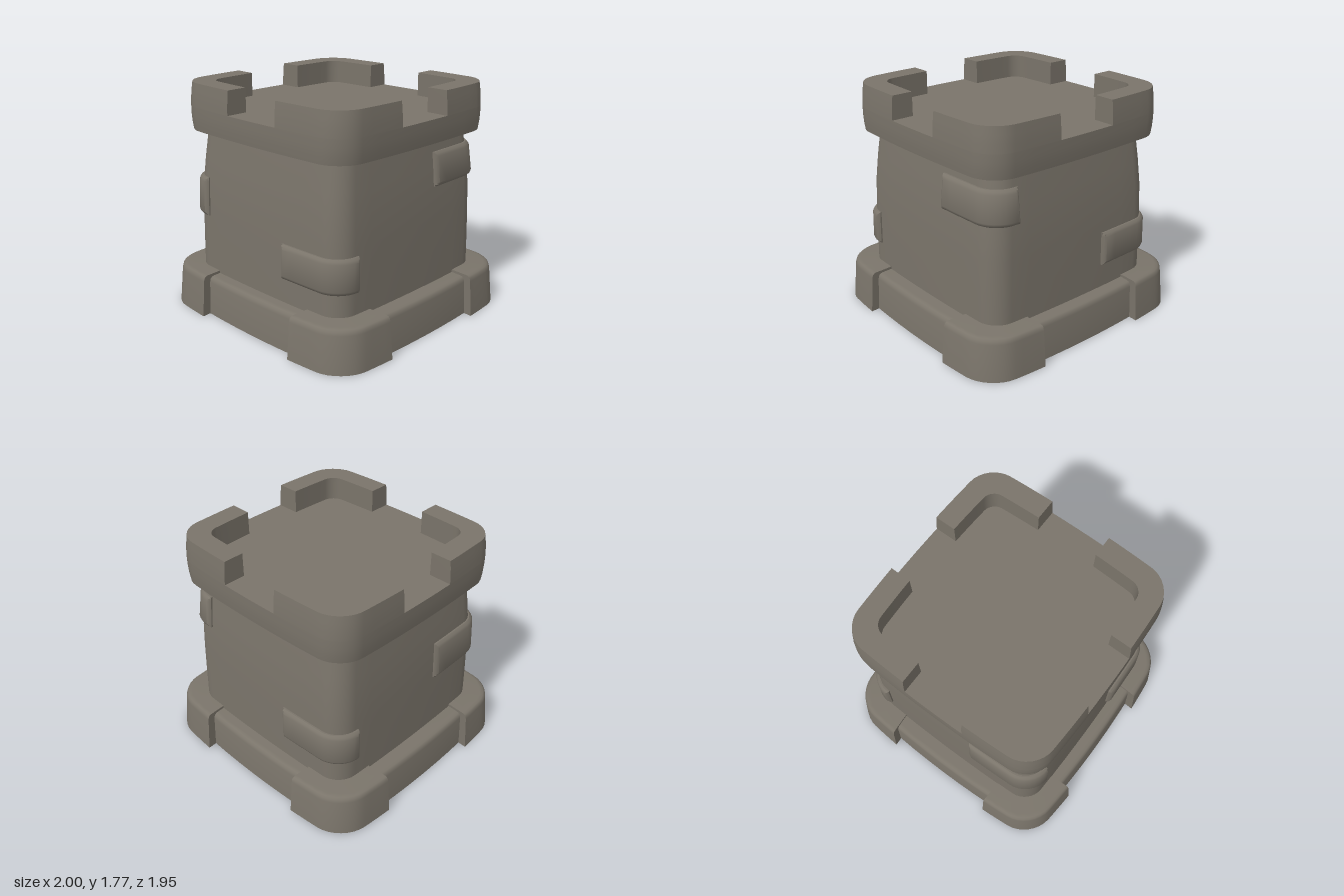
import * as THREE from 'three';
import { toCreasedNormals } from 'three/addons/utils/BufferGeometryUtils.js';

const stone = new THREE.MeshStandardMaterial({ color: 0x7a746a });
stone.name = 'stone';

// One quarter of a bowed, rounded square: from the front side, round the corner, to the left side.
function cornerPath(hx, hz, r, bow, startX, endZ, lead = [0]) {
  const side = (from, to) => {
    const last = lead[lead.length - 1];
    const ds = [...lead];
    for (let i = 1; i <= 4; i++) ds.push(last + (to - from - last) * i / 4);
    return ds.map((d) => from + d);
  };
  const pts = side(startX, hx - r).map((x) => [x, hz]);
  for (let i = 1; i < 8; i++) {
    const a = Math.PI / 2 * (1 - i / 8);
    pts.push([hx - r + r * Math.cos(a), hz - r + r * Math.sin(a)]);
  }
  pts.push(...side(endZ, hz - r).reverse().map((z) => [hx, z]));
  return pts.map(([x, z]) => [x * (1 - bow * z * z), z * (1 - bow * x * x)]);
}

// The whole outline, made of four mirrored quarters.
function fullRing(hx, hz, r, bow) {
  const q = cornerPath(hx, hz, r, bow, 0, 0);
  const back = [...q].reverse();
  return [
    ...q.slice(0, -1),
    ...back.slice(0, -1).map(([x, z]) => [x, -z]),
    ...q.slice(0, -1).map(([x, z]) => [-x, -z]),
    ...back.slice(0, -1).map(([x, z]) => [-x, z]),
  ];
}

// Skin rows of [x, y, z] points, with optional flat caps and mirroring.
function loft(name, rows, { closed = true, top = false, bottom = false, sx = 1, sz = 1 } = {}) {
  const n = rows[0].length;
  const index = [];
  const tri = (a, b, c) => (sx * sz > 0 ? index.push(a, b, c) : index.push(a, c, b));
  for (let i = 0; i < rows.length - 1; i++) {
    for (let j = 0; j < (closed ? n : n - 1); j++) {
      const k = (j + 1) % n, a = i * n, b = a + n;
      tri(a + j, a + k, b + k);
      tri(a + j, b + k, b + j);
    }
  }
  const cap = (i, up) => {
    const flat = rows[i].map(([x, , z]) => new THREE.Vector2(x, -z));
    for (const [a, b, c] of THREE.ShapeUtils.triangulateShape(flat, [])) {
      if (up) tri(i * n + a, i * n + b, i * n + c);
      else tri(i * n + a, i * n + c, i * n + b);
    }
  };
  if (top) cap(rows.length - 1, true);
  if (bottom) cap(0, false);
  const pos = rows.flat().flatMap(([x, y, z]) => [x * sx, y, z * sz]);
  const geo = new THREE.BufferGeometry();
  geo.setAttribute('position', new THREE.Float32BufferAttribute(pos, 3));
  geo.setIndex(index);
  const mesh = new THREE.Mesh(toCreasedNormals(geo, 0.65), stone);
  mesh.name = name;
  return mesh;
}

const atHeight = (pts, y) => pts.map(([x, z]) => [x, y, z]);

// Tower wall half-width, narrowing towards the top.
const wallProfile = [[0.28, 0.8], [0.55, 0.797], [0.8, 0.792], [1.0, 0.785], [1.2, 0.767], [1.42, 0.742]];
function wallHalf(y) {
  let i = 0;
  while (i < wallProfile.length - 2 && y > wallProfile[i + 1][0]) i++;
  const [y0, h0] = wallProfile[i], [y1, h1] = wallProfile[i + 1];
  return h0 + (h1 - h0) * (y - y0) / (y1 - y0);
}
const WALL_R = 0.16, WALL_BOW = 0.04;

// Raised, soft-edged stone that wraps round a corner of the wall.
function brick(name, y0, y1, startX, endZ, sx, sz) {
  const offs = [-0.03, 0.012, 0.026, 0.035];
  const rise = [0, 0, 0.012, 0.03];
  const profile = [
    ...offs.map((o, i) => [y0 + rise[i], o]),
    ...offs.map((o, i) => [y1 - rise[i], o]).reverse(),
  ];
  const rows = profile.map(([y, off]) => {
    const at = (o) => {
      const h = wallHalf(y) + o;
      return cornerPath(h, h - 0.003, WALL_R + o, WALL_BOW, startX, endZ, rise);
    };
    const paths = offs.map((o) => at(Math.min(o, off)));
    const n = paths[0].length;
    return paths[0].map((_, k) => {
      const [x, z] = paths[Math.min(k, n - 1 - k, 3)][k];
      return [x, y, z];
    });
  });
  return loft(name, rows, { closed: false, sx, sz });
}

export function createModel() {
  const model = new THREE.Group();
  model.name = 'tower';
  const quarters = [[1, 1], [1, -1], [-1, -1], [-1, 1]];

  // Foundation band
  const band = [[0, 0.945], [0.26, 0.932], [0.285, 0.925], [0.297, 0.912], [0.302, 0.89]];
  model.add(loft('foundation', band.map(([y, h]) => atHeight(fullRing(h, h - 0.025, 0.22, 0.06), y)),
    { top: true, bottom: true }));

  // Foundation corner blocks
  const block = [[0, 1.013], [0.28, 0.99], [0.305, 0.984], [0.317, 0.972], [0.322, 0.952]];
  for (const [sx, sz] of quarters) {
    const rows = block.map(([y, h]) =>
      atHeight([...cornerPath(h, h - 0.022, 0.23, 0.06, 0.505, 0.495), [0.505, 0.495]], y));
    model.add(loft('foundationCorner', rows, { top: true, bottom: true, sx, sz }));
  }

  // Tower wall
  model.add(loft('wall', wallProfile.map(([y, h]) => atHeight(fullRing(h, h - 0.003, WALL_R, WALL_BOW), y))));

  // Wall bricks
  model.add(brick('lowBrick', 0.49, 0.75, 0.25, 0.605, 1, 1));
  model.add(brick('lowBrick', 0.49, 0.75, 0.25, 0.605, -1, -1));
  model.add(brick('highBrick', 1.055, 1.31, 0.56, 0.23, 1, -1));
  model.add(brick('middleBrick', 0.75, 1.05, 0.6, 0.23, -1, 1));

  // Parapet floor
  const drum = [[1.41, 0.85], [1.47, 0.857], [1.53, 0.86], [1.59, 0.86]];
  model.add(loft('parapet', drum.map(([y, h]) => atHeight(fullRing(h, h - 0.015, 0.2, 0.05), y)),
    { top: true, bottom: true }));

  // Corner battlements
  const merlon = [[1.59, 0.86], [1.65, 0.858], [1.71, 0.853], [1.77, 0.846]];
  for (const [sx, sz] of quarters) {
    const rows = merlon.map(([y, h]) => atHeight([
      ...cornerPath(h, h - 0.015, 0.2, 0.05, 0.257, 0.253),
      ...cornerPath(0.682, 0.672, 0.09, 0.07, 0.257, 0.253).reverse(),
    ], y));
    model.add(loft('battlement', rows, { top: true, sx, sz }));
  }
  return model;
}
